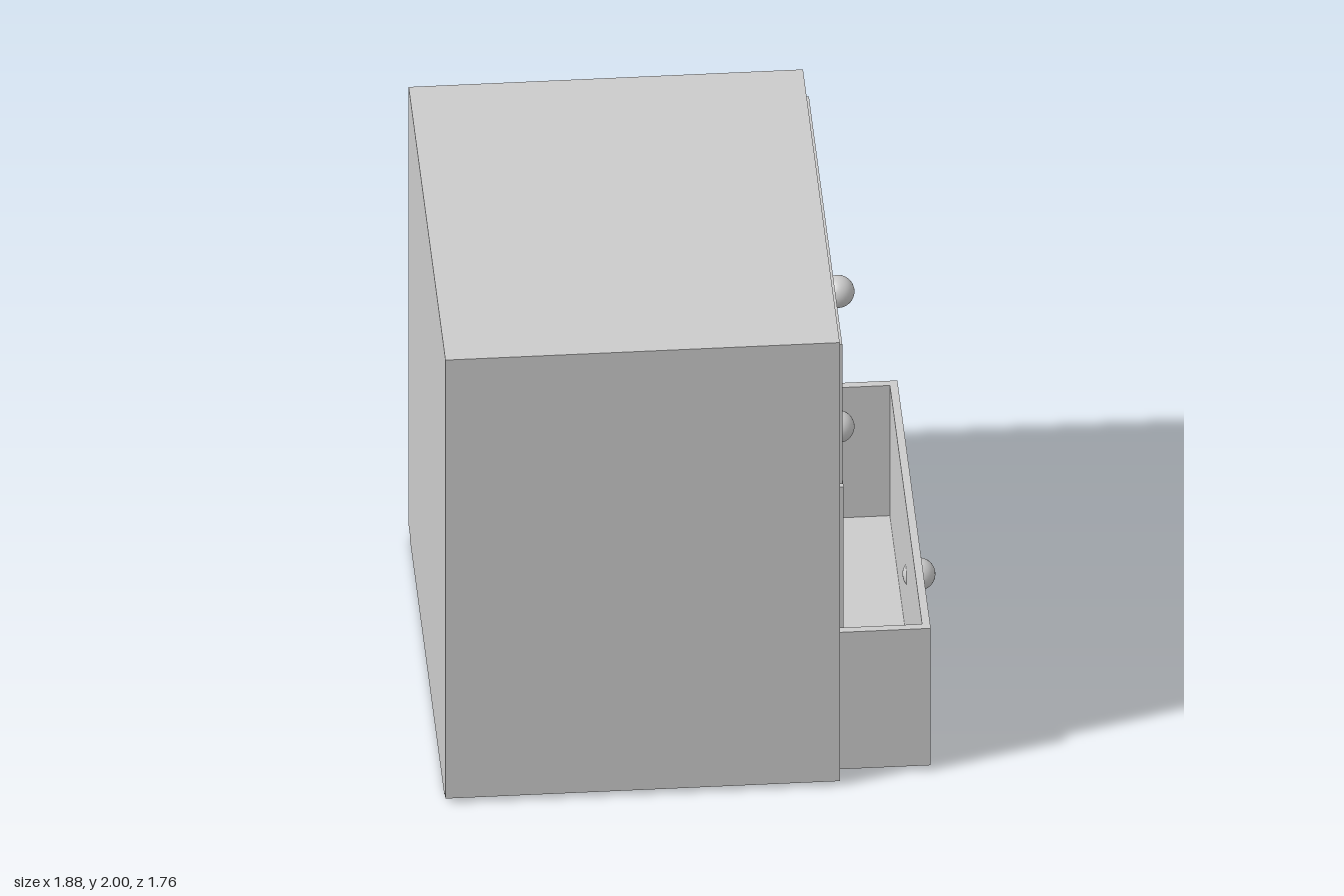
import * as THREE from 'three';

const material = new THREE.MeshStandardMaterial({ color: 0xcccccc });

function addMesh(parent, name, geometry, x = 0, y = 0, z = 0) {
  const mesh = new THREE.Mesh(geometry, material);
  mesh.name = name;
  mesh.position.set(x, y, z);
  parent.add(mesh);
  return mesh;
}

// Box given by its limits on each axis
function addBox(parent, name, [x0, x1], [y0, y1], [z0, z1]) {
  return addMesh(parent, name, new THREE.BoxGeometry(x1 - x0, y1 - y0, z1 - z0),
    (x0 + x1) / 2, (y0 + y1) / 2, (z0 + z1) / 2);
}

// Outline drawn facing the drawers (shape x runs along -z), extruded along +x
function extrudeAlongX(points, depth) {
  const shape = new THREE.Shape(points.map(([z, y]) => new THREE.Vector2(-z, y)));
  return new THREE.ExtrudeGeometry(shape, { depth, bevelEnabled: false }).rotateY(Math.PI / 2);
}

const BACK = -0.945, FRONT = 0.517;
const DRAWER_Z = [-0.79, 0.81];
const DRAWER_LENGTH = 1.38, WALL = 0.03;

// Open-topped drawer with a round knob, placed by the x of its front face
function createDrawer(name, frontX, y0, y1, knobX, knobY) {
  const drawer = new THREE.Group();
  drawer.name = name;
  const [z0, z1] = DRAWER_Z;
  const x0 = frontX - DRAWER_LENGTH;

  // Four walls as one hollow frame
  const frame = new THREE.Shape([
    new THREE.Vector2(x0, -z1), new THREE.Vector2(frontX, -z1),
    new THREE.Vector2(frontX, -z0), new THREE.Vector2(x0, -z0),
  ]);
  frame.holes.push(new THREE.Path([
    new THREE.Vector2(x0 + WALL, -z1 + WALL), new THREE.Vector2(x0 + WALL, -z0 - WALL),
    new THREE.Vector2(frontX - WALL, -z0 - WALL), new THREE.Vector2(frontX - WALL, -z1 + WALL),
  ]));
  const walls = new THREE.ExtrudeGeometry(frame, { depth: y1 - y0, bevelEnabled: false });
  addMesh(drawer, 'drawerWalls', walls.rotateX(-Math.PI / 2), 0, y0, 0);

  addBox(drawer, 'drawerBottom', [x0 + WALL, frontX - WALL], [y0, y0 + WALL],
    [z0 + WALL, z1 - WALL]);
  addMesh(drawer, 'knob', new THREE.SphereGeometry(0.061, 32, 20), knobX, knobY, 0.01);
  return drawer;
}

export function createModel() {
  const model = new THREE.Group();
  model.name = 'drawerCabinet';

  // Top and both sides in one piece, open at the front and underneath
  const shell = extrudeAlongX([
    [0.883, 0.02], [0.883, 2], [-0.88, 2], [-0.88, 0.02],
    [-0.795, 0.02], [-0.795, 1.945], [0.815, 1.945], [0.815, 0.02],
  ].reverse(), FRONT - BACK);
  addMesh(model, 'cabinetShell', shell, BACK, 0, 0);
  addBox(model, 'backPanel', [BACK, BACK + 0.06], [0.02, 1.945], [-0.795, 0.815]);
  addBox(model, 'basePlate', [BACK, FRONT], [0, 0.02], [-0.81, 0.827]);

  // Two closed drawers above one pulled out
  model.add(
    createDrawer('topDrawer', 0.532, 1.31, 1.94, 0.578, 1.617),
    createDrawer('middleDrawer', 0.537, 0.66, 1.296, 0.578, 1.007),
    createDrawer('bottomDrawer', 0.86, 0.022, 0.64, 0.878, 0.325),
  );
  return model;
}
